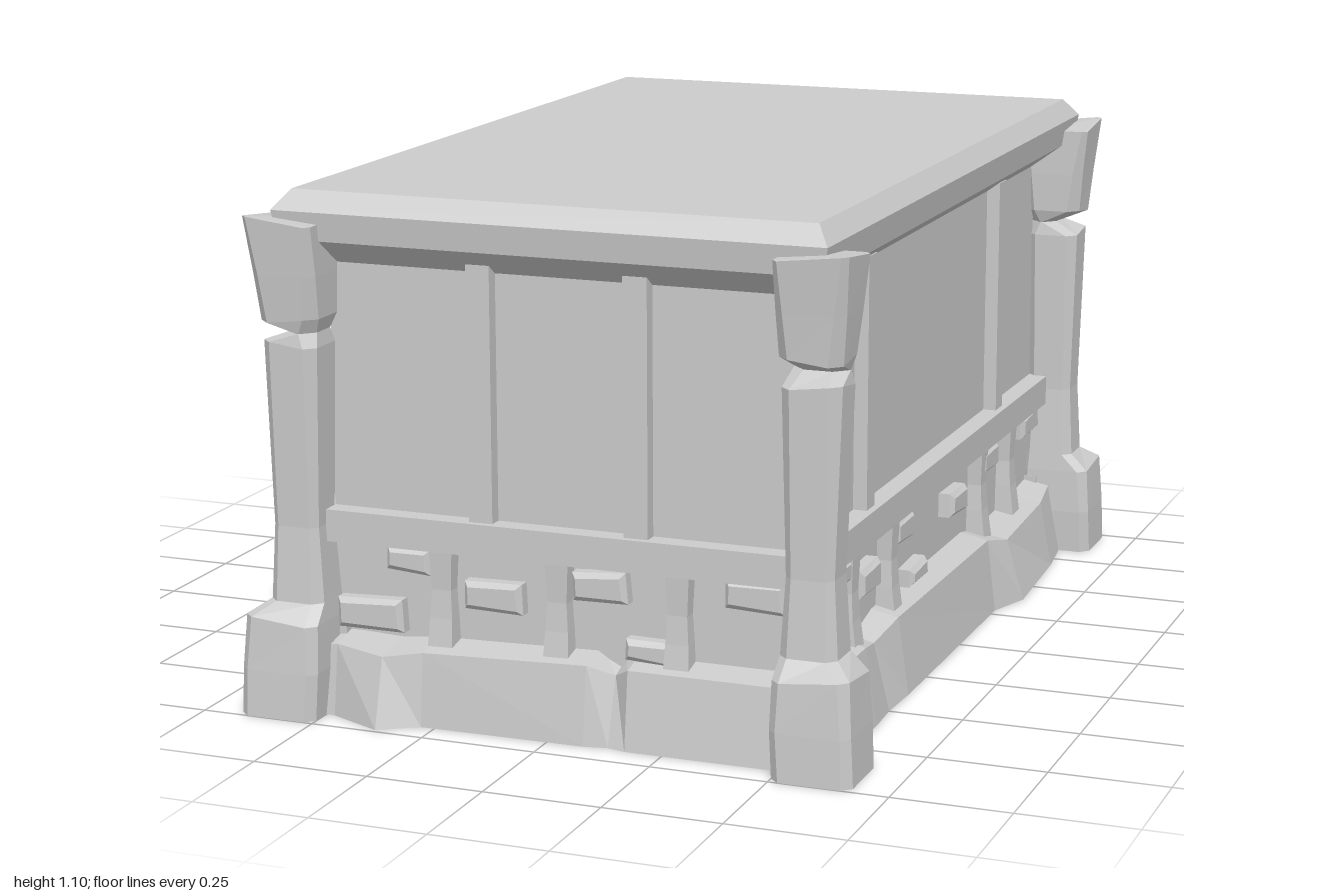
import * as THREE from 'three';

const mat = new THREE.MeshStandardMaterial({ color: 0xcccccc, flatShading: true });

// Skin a row of equal-length point loops and cap both ends
function loft(name, loops) {
  const pos = [], n = loops[0].length;
  const tri = (a, b, c) => pos.push(...a, ...b, ...c);
  for (let i = 0; i < loops.length - 1; i++) {
    for (let j = 0; j < n; j++) {
      const k = (j + 1) % n, lo = loops[i], hi = loops[i + 1];
      tri(lo[j], lo[k], hi[k]);
      tri(lo[j], hi[k], hi[j]);
    }
  }
  const first = loops[0], last = loops[loops.length - 1];
  for (let j = 1; j < n - 1; j++) {
    tri(first[0], first[j + 1], first[j]);
    tri(last[0], last[j], last[j + 1]);
  }
  const geo = new THREE.BufferGeometry();
  geo.setAttribute('position', new THREE.Float32BufferAttribute(pos, 3));
  geo.computeVertexNormals();
  const mesh = new THREE.Mesh(geo, mat);
  mesh.name = name;
  return mesh;
}

function box(name, w, h, d, x, y, z) {
  const mesh = new THREE.Mesh(new THREE.BoxGeometry(w, h, d), mat);
  mesh.name = name;
  mesh.position.set(x, y, z);
  return mesh;
}

// Horizontal rectangle loop
const rect = (x, z, y) => [[x, y, z], [x, y, -z], [-x, y, -z], [-x, y, z]];

// Chipped corner post; +x and +z are its outer sides
function post() {
  // y, inner edge, outer x, outer z, chamfer, rise of the outer corner
  const levels = [
    [0, -0.075, 0.095, 0.095, 0.02, 0],
    [0.1, -0.08, 0.09, 0.092, 0.018, 0],
    [0.2, -0.078, 0.083, 0.085, 0.02, 0.012],
    [0.24, -0.075, 0.045, 0.045, 0.02, 0],
    [0.4, -0.065, 0.036, 0.036, 0.015, 0],
    [0.78, -0.075, 0.05, 0.045, 0.022, 0.01],
    [0.81, -0.07, 0.045, -0.01, 0.028, 0],
    [0.84, -0.08, 0.052, 0.05, 0.025, -0.01],
    [0.93, -0.083, 0.062, 0.058, 0.02, 0],
    [1.035, -0.083, 0.072, 0.07, 0.012, 0.015],
  ];
  return loft('cornerPost', levels.map(([y, a, x, z, c, r]) => [
    [x - c, y + r, z], [x, y + r, z - c], [x, y, a + c], [x - c, y, a],
    [a + c, y, a], [a, y, a + c], [a, y, z - c], [a + c, y, z],
  ]));
}

// Bevelled stone block standing out of the wall
function brick(x, y, w, h, turn) {
  const ring = (s, z, k) => [
    [-w / 2 + s, -h / 2 + s + k, z], [w / 2 - s, -h / 2 + s, z],
    [w / 2 - s - k, h / 2 - s, z], [-w / 2 + s, h / 2 - s - k, z],
  ];
  const mesh = loft('brick', [ring(0, -0.01, 0.003), ring(0, 0.025, 0.003), ring(0.01, 0.036, 0.004)]);
  mesh.position.set(x, y, 0);
  mesh.rotation.z = turn;
  return mesh;
}

// Short stud, waisted in the middle, from ledge to rail
function stud(x) {
  const rows = [[0.15, 0.028, 0.045], [0.22, 0.025, 0.036], [0.28, 0.021, 0.032], [0.37, 0.026, 0.036]];
  const mesh = loft('stud', rows.map(([y, w, d]) => [[w, y, d], [w, y, -0.01], [-w, y, -0.01], [-w, y, d]]));
  mesh.position.x = x;
  return mesh;
}

// Everything on one side; local +z points outwards and z = 0 is the wall
function side(name, half, battens, studs, bricks, rocks) {
  const g = new THREE.Group();
  g.name = name;
  g.add(box('rail', half * 2, 0.068, 0.05, 0, 0.397, 0.02));
  battens.forEach(x => g.add(box('batten', 0.052, 0.55, 0.05, x, 0.69, 0.005)));
  studs.forEach(x => g.add(stud(x)));
  bricks.forEach((b, i) => g.add(brick(...b, ((i * 7) % 5 - 2) * 0.022)));
  // rough plinth: position along, reach at the ground, reach at the shoulder, shoulder height
  g.add(loft('plinthRock', rocks.map(([x, foot, top, y]) => [
    [x, y + 0.02, -0.03], [x, y, top], [x, 0, foot], [x, 0, -0.03],
  ])));
  return g;
}

export function createModel() {
  const model = new THREE.Group();
  model.name = 'chest';
  const WX = 0.51, WZ = 0.85;

  // Body and lid
  model.add(box('body', WX * 2, 0.98, WZ * 2, 0, 0.49, 0));
  model.add(loft('lid', [
    rect(WX, WZ, 0.945), rect(0.585, 0.93, 1.0), rect(0.595, 0.938, 1.06), rect(0.565, 0.9, 1.1),
  ]));

  // Corner posts, each turned a quarter from the last
  [[1, 1], [1, -1], [-1, -1], [-1, 1]].forEach(([sx, sz], k) => {
    const p = post();
    p.position.set(sx * 0.575, 0, sz * 0.905);
    p.rotation.y = k * Math.PI / 2;
    model.add(p);
  });

  const endBricks = [
    [-0.33, 0.335, 0.1, 0.055], [-0.14, 0.275, 0.13, 0.065], [0.095, 0.32, 0.12, 0.065],
    [0.43, 0.335, 0.13, 0.065], [-0.42, 0.21, 0.15, 0.07], [0.2, 0.195, 0.1, 0.05],
  ];
  const longBricks = [
    [-0.67, 0.335, 0.11, 0.05], [-0.48, 0.277, 0.125, 0.065], [-0.76, 0.21, 0.14, 0.06],
    [-0.245, 0.325, 0.12, 0.06], [-0.14, 0.2, 0.115, 0.045], [0.16, 0.285, 0.12, 0.06],
    [0.41, 0.325, 0.12, 0.06], [0.75, 0.335, 0.13, 0.06],
  ];
  const frontRocks = [
    [-0.54, 0.08, 0.06, 0.14], [-0.48, 0.085, 0.065, 0.15], [-0.36, 0.14, 0.1, 0.145],
    [-0.28, 0.09, 0.075, 0.155], [0.08, 0.085, 0.065, 0.165], [0.13, 0.075, 0.03, 0.14],
    [0.17, 0.085, 0.065, 0.165], [0.54, 0.085, 0.065, 0.165],
  ];
  const backRocks = [
    [-0.54, 0.09, 0.065, 0.165], [-0.13, 0.115, 0.08, 0.15], [0, 0.085, 0.06, 0.165],
    [0.36, 0.125, 0.09, 0.14], [0.48, 0.095, 0.065, 0.155], [0.54, 0.08, 0.06, 0.15],
  ];
  const longRocks = [
    [-0.87, 0.08, 0.06, 0.165], [-0.6, 0.085, 0.06, 0.165], [-0.5, 0.08, 0.045, 0.145],
    [-0.38, 0.085, 0.06, 0.168], [0.28, 0.085, 0.065, 0.165], [0.39, 0.122, 0.08, 0.14],
    [0.7, 0.105, 0.075, 0.15], [0.82, 0.09, 0.06, 0.16], [0.87, 0.08, 0.06, 0.165],
  ];

  // Short ends and long sides
  [['frontSide', frontRocks], ['backSide', backRocks]].forEach(([name, rocks], i) => {
    const s = side(name, 0.53, [-0.165, 0.175], [-0.255, 0.003, 0.265], endBricks, rocks);
    s.position.z = i ? -WZ : WZ;
    s.rotation.y = i * Math.PI;
    model.add(s);
  });
  ['leftSide', 'rightSide'].forEach((name, i) => {
    const s = side(name, 0.87, [-0.485, 0.475], [-0.59, -0.325, 0.35, 0.59], longBricks, longRocks);
    s.position.x = i ? -WX : WX;
    s.rotation.y = (i ? -1 : 1) * Math.PI / 2;
    model.add(s);
  });
  return model;
}
